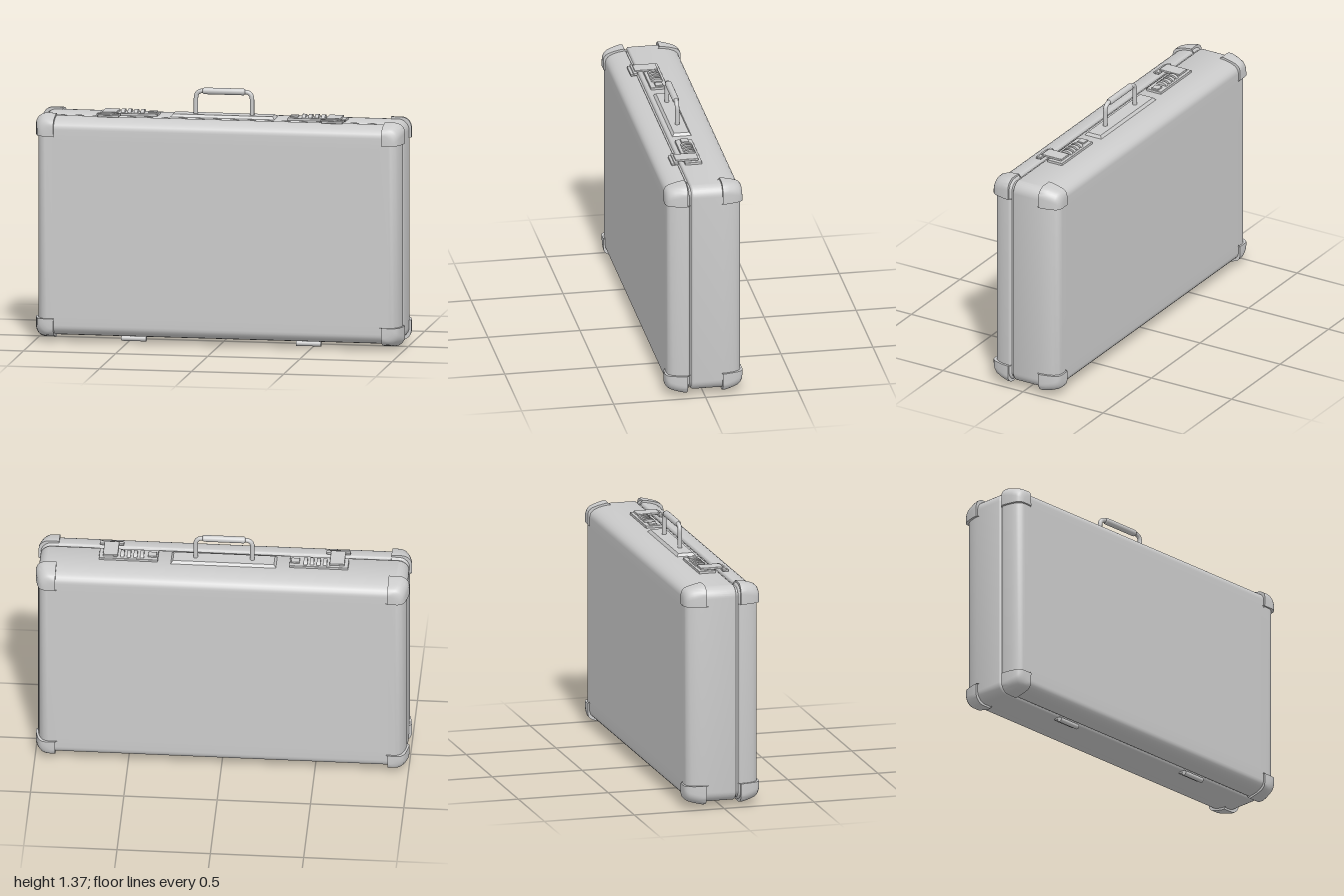
import * as THREE from 'three';
import { toCreasedNormals, mergeVertices } from 'three/addons/utils/BufferGeometryUtils.js';
import { RoundedBoxGeometry } from 'three/addons/geometries/RoundedBoxGeometry.js';

const material = new THREE.MeshStandardMaterial({ color: 0xcccccc, side: THREE.DoubleSide });
const CY = 0.6225; // height of the case centre
const TOP = 1.215; // top face of the case

function add(parent, name, geometry, x = 0, y = 0, z = 0) {
  const mesh = new THREE.Mesh(geometry, material);
  mesh.name = name;
  mesh.position.set(x, y, z);
  parent.add(mesh);
  return mesh;
}

// Skin a list of equally long point rows
function loft(rows, flip = false, crease = 0.6) {
  const n = rows[0].length, index = [];
  for (let i = 0; i < rows.length - 1; i++) {
    for (let j = 0; j < n - 1; j++) {
      const a = i * n + j, b = a + 1, d = a + n, c = d + 1;
      if (flip) index.push(a, c, b, a, d, c);
      else index.push(a, b, c, a, c, d);
    }
  }
  const g = new THREE.BufferGeometry();
  g.setAttribute('position', new THREE.Float32BufferAttribute(rows.flat(2), 3));
  g.setIndex(index);
  return toCreasedNormals(mergeVertices(g), crease);
}

// Rounded corner in the quadrant starting at angle a0
function arc(cx, cy, r, a0, z, steps = 8) {
  return Array.from({ length: steps + 1 }, (_, i) => {
    const a = a0 + (i / steps) * Math.PI / 2;
    return [cx + r * Math.cos(a), cy + r * Math.sin(a), z];
  });
}

// Rounded rectangle outline, inset by k
function outline(w, h, r, k, z) {
  const rr = Math.max(r - k, 0.01), x = w - k - rr, y = h - k - rr;
  const pts = [
    ...arc(x, y, rr, 0, z), ...arc(-x, y, rr, Math.PI / 2, z),
    ...arc(-x, -y, rr, Math.PI, z), ...arc(x, -y, rr, Math.PI * 1.5, z),
  ];
  return [...pts, pts[0]];
}

// Half of the case: flat at the seam, softly rounded toward z = 0.2
function shell(seam) {
  const profile = [
    [seam, 0.1], [seam, 0.012], [seam + 0.004, 0.004], [seam + 0.01, 0], [0.09 + 0.01, 0],
    [0.125, 0.003], [0.15, 0.009], [0.17, 0.017], [0.185, 0.027], [0.194, 0.038],
    [0.199, 0.05], [0.2, 0.062], [0.2, 0.12],
  ];
  const rows = profile.map(([z, k]) => outline(0.988, 0.5925, 0.06, k, z));
  const centre = (z) => rows[0].map(() => [0, 0, z]);
  return loft([centre(seam), ...rows, centre(0.2)]);
}

// Corner protector, mirrored by the three signs
function cornerCap(sx, sy, sz) {
  const W = 1, H = 0.604, size = 0.11, drop = 0.014;
  const profile = [
    [0.095, 0.014], [0.095, 0], [0.11, 0], [0.135, 0.005], [0.16, 0.011], [0.185, 0.019],
    [0.197, 0.027], [0.206, 0.038], [0.21, 0.055], [0.21, 0.08], [0.21, size],
  ];
  const rows = profile.map(([z, k]) => {
    const r = Math.max(Math.min(0.055, size - k), 0.001), x = W - k, y = H - k;
    const row = [
      [x - drop, H - size, z - drop], [x, H - size, z],
      ...arc(x - r, y - r, r, 0, z),
      [W - size, y, z], [W - size, y - drop, z - drop],
    ];
    return row.map(([px, py, pz]) => [px * sx, py * sy, pz * sz]);
  });
  return loft(rows, sx * sy * sz < 0, 0.7);
}

// Flat plate with bevelled upper edges, resting on y = 0
function bevelPlate(w, d, h, bevel) {
  const g = new THREE.BoxGeometry(w, h, d).toNonIndexed();
  const p = g.attributes.position;
  for (let i = 0; i < p.count; i++) {
    if (p.getY(i) > 0) {
      p.setX(i, p.getX(i) - Math.sign(p.getX(i)) * bevel);
      p.setZ(i, p.getZ(i) - Math.sign(p.getZ(i)) * bevel);
    }
  }
  g.translate(0, h / 2, 0);
  g.computeVertexNormals();
  return g;
}

function box(w, h, d, r = 0.003) {
  return new RoundedBoxGeometry(w, h, d, 2, r);
}

// Combination latch, s = side
function latch(s) {
  const g = new THREE.Group();
  g.name = s > 0 ? 'leftLatch' : 'rightLatch';
  add(g, 'latchPlate', box(0.315, 0.016, 0.092), s * 0.51, TOP + 0.005, 0.004);
  add(g, 'latchButton', box(0.045, 0.014, 0.042), s * 0.383, TOP + 0.014, 0.002);
  for (let i = 0; i < 4; i++) {
    const wheel = new THREE.CylinderGeometry(0.032, 0.032, 0.02, 24).rotateZ(Math.PI / 2);
    wheel.scale(1, 0.6, 1);
    add(g, 'numberWheel', wheel, s * (0.438 + i * 0.035), TOP + 0.01, 0.002);
  }
  add(g, 'claspArm', box(0.08, 0.012, 0.125), s * 0.607, TOP + 0.019, 0.036);
  add(g, 'claspHook', box(0.13, 0.014, 0.022), s * 0.607, TOP + 0.012, 0.098);
  add(g, 'claspLip', box(0.115, 0.012, 0.022), s * 0.607, TOP + 0.006, 0.113);
  return g;
}

// Hinge under the seam
function hinge(s) {
  const g = new THREE.Group();
  g.name = s > 0 ? 'leftHinge' : 'rightHinge';
  const knuckle = new THREE.CylinderGeometry(0.014, 0.014, 0.135, 20).rotateZ(Math.PI / 2);
  add(g, 'hingePin', knuckle, s * 0.474, 0.014, 0.08);
  add(g, 'hingeLeaf', box(0.135, 0.012, 0.04), s * 0.474, 0.024, 0.062);
  return g;
}

// Carrying handle: bent bar with a thicker grip
function handle() {
  const g = new THREE.Group();
  g.name = 'handle';
  add(g, 'handlePlate', bevelPlate(0.565, 0.105, 0.016, 0.012), 0, TOP - 0.001, -0.002);
  const V = (x, y) => new THREE.Vector3(x, y, 0);
  const path = new THREE.CurvePath();
  const x = 0.152, top = 1.353, r = 0.04;
  path.add(new THREE.LineCurve3(V(-x, TOP), V(-x, top - r)));
  path.add(new THREE.QuadraticBezierCurve3(V(-x, top - r), V(-x, top), V(r - x, top)));
  path.add(new THREE.LineCurve3(V(r - x, top), V(x - r, top)));
  path.add(new THREE.QuadraticBezierCurve3(V(x - r, top), V(x, top), V(x, top - r)));
  path.add(new THREE.LineCurve3(V(x, top - r), V(x, TOP)));
  add(g, 'handleBar', new THREE.TubeGeometry(path, 80, 0.012, 14));
  const half = [[0, -0.115], [0.013, -0.115], [0.018, -0.107], [0.018, 0.107], [0.013, 0.115], [0, 0.115]];
  const grip = new THREE.LatheGeometry(half.map(([a, b]) => new THREE.Vector2(a, b)), 20);
  add(g, 'handleGrip', grip.rotateZ(Math.PI / 2), 0, top, 0);
  return g;
}

export function createModel() {
  const model = new THREE.Group();
  model.name = 'briefcase';

  // Case halves and the recessed seam between them
  add(model, 'lid', shell(0.084), 0, CY, 0);
  add(model, 'base', shell(-0.074).rotateY(Math.PI), 0, CY, 0);
  add(model, 'seam', new RoundedBoxGeometry(1.95, 1.159, 0.1, 4, 0.045), 0, CY, 0.08);

  // Corner protectors
  for (const sx of [-1, 1]) for (const sy of [-1, 1]) for (const sz of [-1, 1]) {
    add(model, 'cornerProtector', cornerCap(sx, sy, sz), 0, CY, 0);
  }

  // Hardware
  for (const s of [-1, 1]) model.add(latch(s), hinge(s));
  model.add(handle());
  return model;
}
